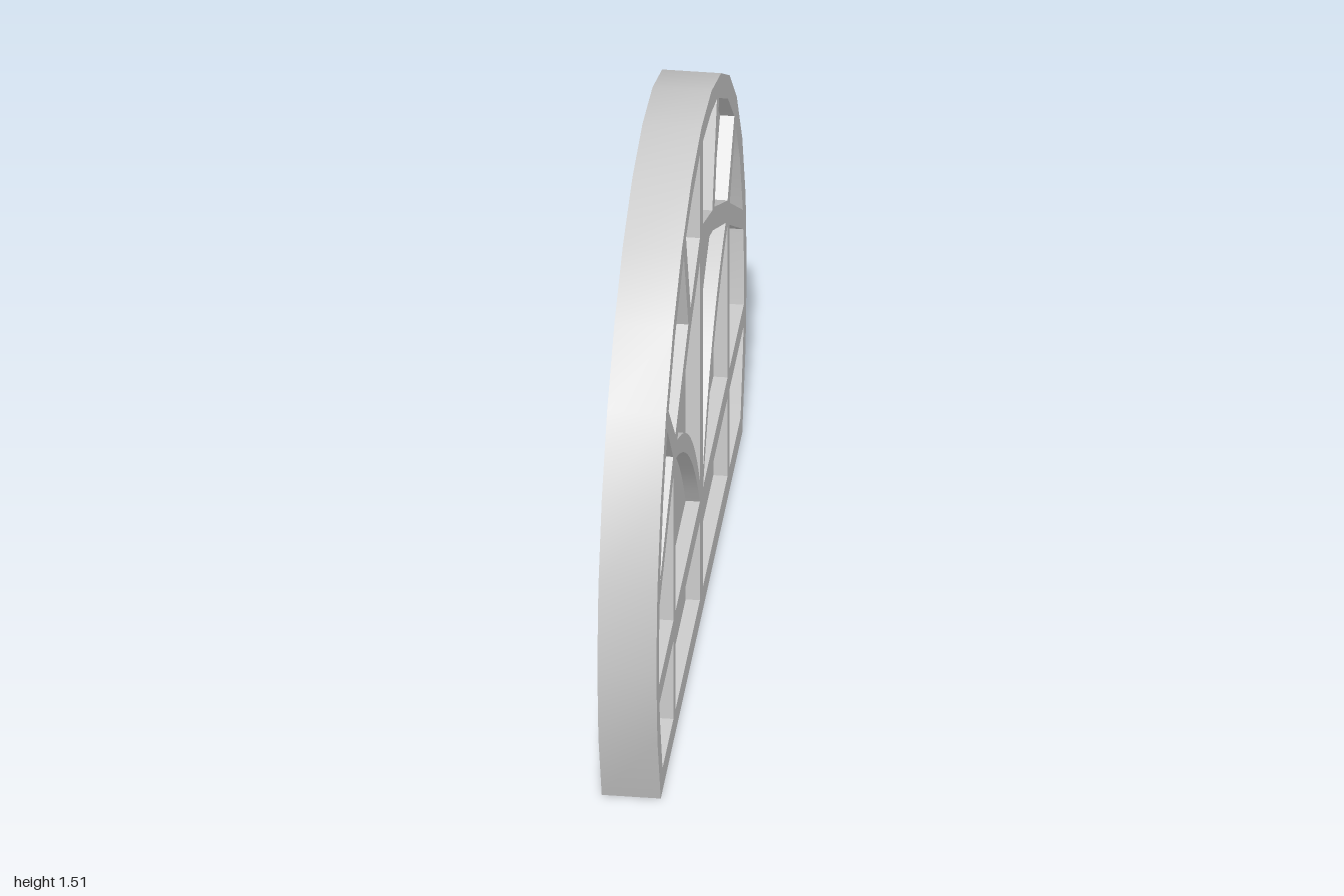
import * as THREE from 'three';
import { toCreasedNormals } from 'three/addons/utils/BufferGeometryUtils.js';

const FRAME_DEPTH = 0.155;
const PANE_DEPTH = 0.08;
const STEP = Math.PI / 14;

const v = ([z, y]) => new THREE.Vector2(z, y);

// Faceted oval cut off below, from the right foot over the top to the left foot
function arch(rz, ry) {
  const pts = [];
  for (let i = -2; i <= 16; i++) {
    pts.push(new THREE.Vector2(rz * Math.cos(i * STEP), Math.max(0, 0.456 + ry * Math.sin(i * STEP))));
  }
  return pts;
}

// Curved bar edge as sampled points
const bow = (a, c, b) => new THREE.QuadraticBezierCurve(v(a), v(c), v(b)).getPoints(12).map((p) => [p.x, p.y]);

// Extrude along x, centred, with smooth curves and sharp corners
function slab(shape, depth) {
  const g = new THREE.ExtrudeGeometry(shape, { depth, bevelEnabled: false });
  g.translate(0, 0, -depth / 2);
  g.rotateY(Math.PI / 2);
  return toCreasedNormals(g, 0.4);
}

// Openings of one half, as [z, y]
const openings = [
  // fan lights
  [[0.035, 1.443], [0.21, 1.418], [0.342, 1.38], [0.24, 1.10], [0.035, 1.187]],
  [[0.39, 1.353], [0.586, 1.228], [0.727, 1.086], [0.577, 0.92], [0.29, 1.08]],
  [[0.754, 1.043], [0.847, 0.884], [0.914, 0.68], [0.626, 0.882]],
  // side light
  [[0.62, 0.818], [0.93, 0.61], [0.94, 0.456], [0.935, 0.374], [0.62, 0.374]],
  // lights below and above the curved bar
  [...bow([0.577, 0.845], [0.23, 0.706], [0.035, 0.374]), [0.577, 0.374]],
  [...bow([0.535, 0.877], [0.21, 0.754], [0.035, 0.438]), [0.035, 1.112], [0.25, 1.032]],
  // bottom row
  [[0.577, 0.31], [0.035, 0.31], [0.035, 0.07], [0.577, 0.07]],
  [[0.93, 0.31], [0.62, 0.31], [0.62, 0.07], [0.862, 0.07], [0.913, 0.236]],
];

export function createModel() {
  const group = new THREE.Group();
  group.name = 'archedWindow';
  const grey = new THREE.MeshStandardMaterial({ color: 0xcccccc });
  grey.name = 'light grey';

  // Frame and glazing bars in one pierced slab
  const frameShape = new THREE.Shape(arch(1, 1.05));
  for (const side of [1, -1]) {
    for (const pts of openings) {
      frameShape.holes.push(new THREE.Path(pts.map(([z, y]) => v([side * z, y]))));
    }
  }
  const frame = new THREE.Mesh(slab(frameShape, FRAME_DEPTH), grey);
  frame.name = 'frame';

  // Recessed pane behind every opening, on both sides
  const pane = new THREE.Mesh(slab(new THREE.Shape(arch(0.965, 1.015)), PANE_DEPTH), grey);
  pane.name = 'pane';
  pane.scale.y = 0.99;
  pane.position.y = 0.01;

  group.add(frame, pane);
  return group;
}
